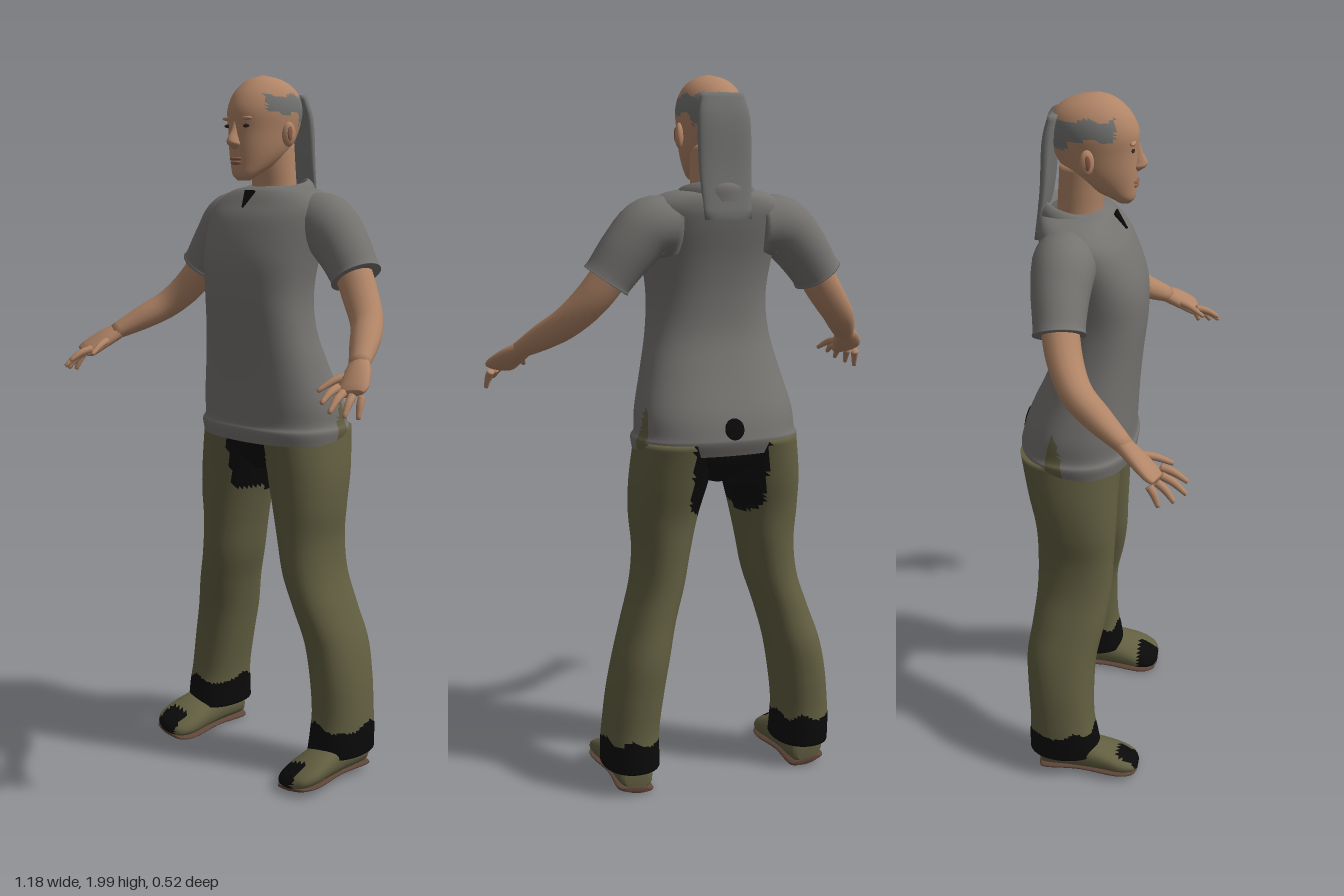
import * as THREE from 'three';

const mat = (name, color) => {
  const m = new THREE.MeshStandardMaterial({ color });
  m.name = name;
  return m;
};
const skin = mat('skin', 0xb18567);
const shirt = mat('shirtGrey', 0x757370);
const hair = mat('hairGrey', 0x737472);
const olive = mat('trouserOlive', 0x625f41);
const black = mat('black', 0x0a0a0a);
const sole = mat('soleBrown', 0x5e4639);
const lip = mat('lip', 0x8f5c4a);
const dark = mat('eyeBrown', 0x35251d);
for (const m of [shirt, olive, black, hair]) m.side = THREE.DoubleSide;

// Skin over rings of points; pick(centroid) may choose a material index per face
function skinOver(rings, caps = true, pick = null) {
  const n = rings[0].length, pos = [], faces = [];
  rings.forEach(r => r.forEach(p => pos.push(p)));
  for (let i = 0; i < rings.length - 1; i++) {
    for (let j = 0; j < n; j++) {
      const a = i * n + j, b = i * n + (j + 1) % n;
      faces.push([a, b, a + n], [b, b + n, a + n]);
    }
  }
  if (caps) {
    [0, rings.length - 1].forEach((ri, end) => {
      const c = new THREE.Vector3();
      rings[ri].forEach(p => c.addScaledVector(p, 1 / n));
      pos.push(c);
      for (let j = 0; j < n; j++) {
        const a = ri * n + j, b = ri * n + (j + 1) % n;
        faces.push(end ? [a, b, pos.length - 1] : [b, a, pos.length - 1]);
      }
    });
  }
  const g = new THREE.BufferGeometry().setFromPoints(pos);
  const sets = [[], []], c = new THREE.Vector3();
  for (const f of faces) {
    c.set(0, 0, 0);
    f.forEach(i => c.addScaledVector(pos[i], 1 / 3));
    sets[pick ? pick(c) : 0].push(...f);
  }
  g.setIndex([...sets[0], ...sets[1]]);
  if (pick) {
    g.addGroup(0, sets[0].length, 0);
    g.addGroup(sets[0].length, sets[1].length, 1);
  }
  g.computeVertexNormals();
  return g;
}

// Smoothly resample rows of numbers
function smooth(rows, steps) {
  const f = new THREE.CubicInterpolant(rows.map((_, i) => i), rows.flat(), rows[0].length);
  const out = [];
  for (let i = 0; i <= (rows.length - 1) * steps; i++) out.push(Array.from(f.evaluate(i / steps)));
  return out;
}

// Upright body: rows of [y, xMin, xMax, zFront, zBack]; power below 1 is boxier
function upright(rows, { n = 40, steps = 5, power = 1, caps = true, pick = null } = {}) {
  const pw = v => Math.sign(v) * Math.abs(v) ** power;
  const rings = smooth(rows, steps).map(([y, x0, x1, zf, zb]) => Array.from({ length: n }, (_, j) => {
    const t = j / n * Math.PI * 2;
    return new THREE.Vector3((x0 + x1) / 2 + pw(Math.sin(t)) * (x1 - x0) / 2, y,
      (zf + zb) / 2 + pw(Math.cos(t)) * (zf - zb) / 2);
  }));
  return skinOver(rings, caps, pick);
}
const sym = rows => rows.map(([y, w, zf, zb]) => [y, -w, w, zf, zb]);
const side = (rows, s) => rows.map(([y, a, b, zf, zb]) => s > 0 ? [y, a, b, zf, zb] : [y, -b, -a, zf, zb]);

// Limb along a path: rows of [x, y, z, thickness, breadth]
function limb(rows, s, n = 16, steps = 5) {
  const pts = smooth(rows, steps);
  const at = i => new THREE.Vector3(pts[i][0] * s, pts[i][1], pts[i][2]);
  return skinOver(pts.map((p, i) => {
    const w = at(Math.min(i + 1, pts.length - 1)).sub(at(Math.max(i - 1, 0))).normalize();
    const u = new THREE.Vector3(0, 1, 1);
    u.addScaledVector(w, -u.dot(w)).normalize();
    const v = w.clone().cross(u);
    return Array.from({ length: n }, (_, j) => {
      const t = j / n * Math.PI * 2;
      return at(i).addScaledVector(u, Math.cos(t) * p[3]).addScaledVector(v, Math.sin(t) * p[4]);
    });
  }));
}

// Foot loft: rows of [z, xMin, xMax, yBottom, yTop], rolled slightly outward
function foot(rows, s, pick) {
  const n = 24;
  return skinOver(smooth(rows, 4).map(([z, a, b, y0, y1]) => Array.from({ length: n }, (_, j) => {
    const t = j / n * Math.PI * 2, x = (a + b) / 2 + Math.cos(t) * (b - a) / 2;
    const y = (y0 + y1) / 2 + Math.sign(Math.sin(t)) * Math.abs(Math.sin(t)) ** 0.8 * (y1 - y0) / 2;
    return [x, y + (x - 0.2) * 0.16, z];
  }).map(([x, y, zz], j, r) => s > 0 ? new THREE.Vector3(x, y, zz)
    : new THREE.Vector3(-r[(n * 3 / 2 - j) % n][0], r[(n * 3 / 2 - j) % n][1], zz))), true, pick);
}

export function createModel() {
  const model = new THREE.Group();
  model.name = 'standingFigure';
  const add = (name, geo, m, parent = model) => {
    const mesh = new THREE.Mesh(geo, m);
    mesh.name = name;
    parent.add(mesh);
    return mesh;
  };
  const blob = (name, m, pos, scale, parent) => {
    const b = add(name, new THREE.SphereGeometry(1, 16, 12), m, parent);
    b.position.set(...pos);
    b.scale.set(...scale);
    return b;
  };

  // Head with a ragged band of hair
  const head = new THREE.Group();
  head.name = 'head';
  model.add(head);
  add('skull', upright(sym([
    [1.715, 0.018, 0.048, 0.015], [1.73, 0.037, 0.06, -0.01], [1.76, 0.057, 0.063, -0.07],
    [1.8, 0.073, 0.066, -0.125], [1.85, 0.082, 0.067, -0.155], [1.9, 0.088, 0.07, -0.168],
    [1.94, 0.083, 0.055, -0.16], [1.97, 0.066, 0.03, -0.135], [1.99, 0.04, 0, -0.095], [2, 0.006, -0.035, -0.05],
  ]), { n: 48, pick: c => {
    const jag = 0.006 * Math.sin(c.x * 90 + c.z * 70);
    return c.z < 0.015 && c.y > (c.z < -0.11 ? 1.87 : 1.895) + jag && c.y < 1.945 + jag ? 1 : 0;
  } }), [skin, hair], head);
  add('neck', upright(sym([[1.6, 0.075, -0.01, -0.16], [1.68, 0.066, -0.025, -0.15],
    [1.74, 0.064, -0.02, -0.145], [1.82, 0.062, -0.01, -0.14]])), skin, head);
  add('hangingHair', upright(sym([[1.95, 0.06, -0.13, -0.163], [1.88, 0.074, -0.145, -0.18],
    [1.75, 0.074, -0.16, -0.188], [1.62, 0.066, -0.185, -0.205]].reverse()), { power: 0.7 }), hair, head);
  add('nose', upright(sym([[1.8, 0.01, 0.07, 0.04], [1.813, 0.019, 0.088, 0.04],
    [1.825, 0.015, 0.092, 0.04], [1.85, 0.009, 0.078, 0.04], [1.88, 0.008, 0.068, 0.04]]), { n: 16 }), skin, head);
  blob('upperLip', lip, [0, 1.774, 0.062], [0.024, 0.005, 0.008], head);
  blob('lowerLip', lip, [0, 1.763, 0.061], [0.02, 0.006, 0.008], head);
  for (const s of [1, -1]) {
    blob('eye', dark, [s * 0.036, 1.862, 0.058], [0.014, 0.005, 0.004], head);
    blob('brow', skin, [s * 0.036, 1.882, 0.057], [0.022, 0.006, 0.008], head);
    blob('ear', skin, [s * 0.088, 1.84, -0.055], [0.012, 0.034, 0.02], head).rotation.y = s * -0.4;
    blob('innerEar', lip, [s * 0.097, 1.842, -0.053], [0.004, 0.02, 0.01], head);
  }

  // Shirt body with side slits and a torn spot at the back
  add('shirtBody', upright(sym([
    [0.985, 0.233, 0.068, -0.243], [1.02, 0.238, 0.074, -0.256], [1.04, 0.229, 0.068, -0.254],
    [1.1, 0.224, 0.07, -0.236], [1.2, 0.2, 0.076, -0.19], [1.3, 0.178, 0.086, -0.155],
    [1.4, 0.17, 0.097, -0.15], [1.5, 0.182, 0.094, -0.162], [1.6, 0.2, 0.058, -0.186],
    [1.65, 0.198, 0.024, -0.194], [1.685, 0.15, -0.005, -0.188], [1.7, 0.08, -0.03, -0.165],
  ]), { n: 72, power: 0.85, caps: false, pick: c =>
    Math.abs(c.x) > 0.18 && c.y < 1.11 && Math.abs(c.z + 0.135) < 0.03 * (1.13 - c.y) / 0.13 ? 1 : 0,
  }), [shirt, olive]);
  blob('backTear', black, [0, 1.06, -0.249], [0.028, 0.03, 0.004]).rotation.x = 0.25;
  const collar = upright(sym([[1.645, 0.118, 0.015, -0.2], [1.685, 0.11, 0.002, -0.198],
    [1.705, 0.092, -0.012, -0.18], [1.685, 0.08, -0.02, -0.165]]), { caps: false });
  const cp = collar.attributes.position;
  for (let i = 0; i < cp.count; i++) cp.setY(i, cp.getY(i) - (cp.getZ(i) + 0.09) * 0.2);
  collar.computeVertexNormals();
  add('collar', collar, shirt);
  const vee = new THREE.Shape([[-0.02, 0.03], [0, -0.025], [0.02, 0.03]].map(p => new THREE.Vector2(...p)));
  const notch = add('collarNotch', new THREE.ExtrudeGeometry(vee, { depth: 0.006, bevelEnabled: false }), black);
  notch.position.set(0, 1.66, 0.022);
  notch.rotation.x = -0.6;

  // Seat of the trousers, dark between the legs
  add('trouserSeat', upright(sym([[0.89, 0.03, -0.02, -0.14], [0.93, 0.1, 0.02, -0.205],
    [0.98, 0.2, 0.042, -0.236], [1.06, 0.212, 0.05, -0.23], [1.14, 0.19, 0.05, -0.2]]),
  { pick: c => Math.abs(c.x) < 0.09 && c.y < 1 ? 1 : 0 }), [olive, black]);

  for (const s of [1, -1]) {
    const tag = s > 0 ? 'left' : 'right';
    // Arm, sleeve and hand
    add(tag + 'Sleeve', limb([[0.12, 1.595, -0.1, 0.08, 0.085], [0.19, 1.595, -0.1, 0.083, 0.085],
      [0.25, 1.54, -0.1, 0.074, 0.078], [0.3, 1.475, -0.095, 0.067, 0.07], [0.312, 1.458, -0.093, 0.069, 0.072]], s, 24), shirt);
    add(tag + 'Arm', limb([[0.28, 1.5, -0.1, 0.05, 0.052], [0.345, 1.41, -0.075, 0.047, 0.05],
      [0.405, 1.345, -0.035, 0.042, 0.045], [0.455, 1.3, 0.03, 0.036, 0.04], [0.505, 1.255, 0.105, 0.022, 0.028]], s), skin);
    const hand = new THREE.Group();
    hand.name = tag + 'Hand';
    model.add(hand);
    add('palm', limb([[0.495, 1.262, 0.09, 0.022, 0.027], [0.52, 1.238, 0.13, 0.021, 0.04],
      [0.545, 1.208, 0.172, 0.017, 0.046], [0.552, 1.198, 0.19, 0.01, 0.038]], s), skin, hand);
    [[0.512, 1.21, 0.19, 0.523, 1.18, 0.26], [0.535, 1.2, 0.195, 0.55, 1.16, 0.26],
      [0.558, 1.193, 0.187, 0.573, 1.148, 0.232], [0.575, 1.19, 0.17, 0.586, 1.14, 0.195],
      [0.5, 1.235, 0.13, 0.47, 1.2, 0.218]].forEach(([x, y, z, X, Y, Z], i) => {
      add(i < 4 ? 'finger' : 'thumb', limb([[x, y, z, 0.011, 0.011],
        [(x + X) / 2, (y + Y) / 2 + 0.006, (z + Z) / 2, 0.01, 0.01], [X, Y, Z, 0.006, 0.006]], s, 10), skin, hand);
    });

    // Trouser leg with black inner thigh and ragged black cuff
    add(tag + 'TrouserLeg', upright(side([
      [0.08, 0.183, 0.347, 0, -0.216], [0.14, 0.185, 0.348, -0.01, -0.214], [0.2, 0.183, 0.344, -0.02, -0.212],
      [0.3, 0.17, 0.332, -0.022, -0.218], [0.4, 0.153, 0.31, -0.016, -0.222], [0.5, 0.13, 0.277, 0.005, -0.208],
      [0.6, 0.1, 0.247, 0.02, -0.197], [0.7, 0.08, 0.238, 0.025, -0.195], [0.8, 0.057, 0.247, 0.03, -0.2],
      [0.9, 0.03, 0.246, 0.034, -0.222], [1.02, 0.004, 0.23, 0.042, -0.246],
    ], s), { n: 48, steps: 8, power: 0.92, pick: c => {
      const x = Math.abs(c.x);
      const cuff = c.y < 0.168 + 0.01 * Math.sin(c.x * 60 + c.z * 45);
      const thigh = c.z > -0.1 ? x < 0.08 && c.y > 0.82 : x < 0.11 && c.y > 0.76 + x * 0.6;
      return cuff || thigh ? 1 : 0;
    } }), [olive, black]);

    // Shoe and sole
    add(tag + 'Shoe', foot([[-0.182, 0.235, 0.3, 0.01, 0.07], [-0.165, 0.215, 0.32, 0.005, 0.1],
      [-0.08, 0.21, 0.325, 0.005, 0.11], [0, 0.203, 0.332, 0.005, 0.092], [0.06, 0.2, 0.336, 0.005, 0.068],
      [0.1, 0.215, 0.322, 0.008, 0.048], [0.115, 0.245, 0.295, 0.014, 0.032]], s,
    c => c.z > 0.055 && c.y > 0.02 && (s > 0 ? c.x < 0.285 : c.x < -0.235 && c.x > -0.31) ? 1 : 0), [olive, black]);
    add(tag + 'Sole', foot([[-0.184, 0.235, 0.3, 0, 0.02], [-0.165, 0.213, 0.322, 0, 0.02],
      [-0.06, 0.215, 0.318, 0.002, 0.02], [0.05, 0.2, 0.336, 0, 0.018], [0.1, 0.213, 0.324, 0.002, 0.018],
      [0.114, 0.245, 0.295, 0.006, 0.018]], s), sole);
  }
  return model;
}
